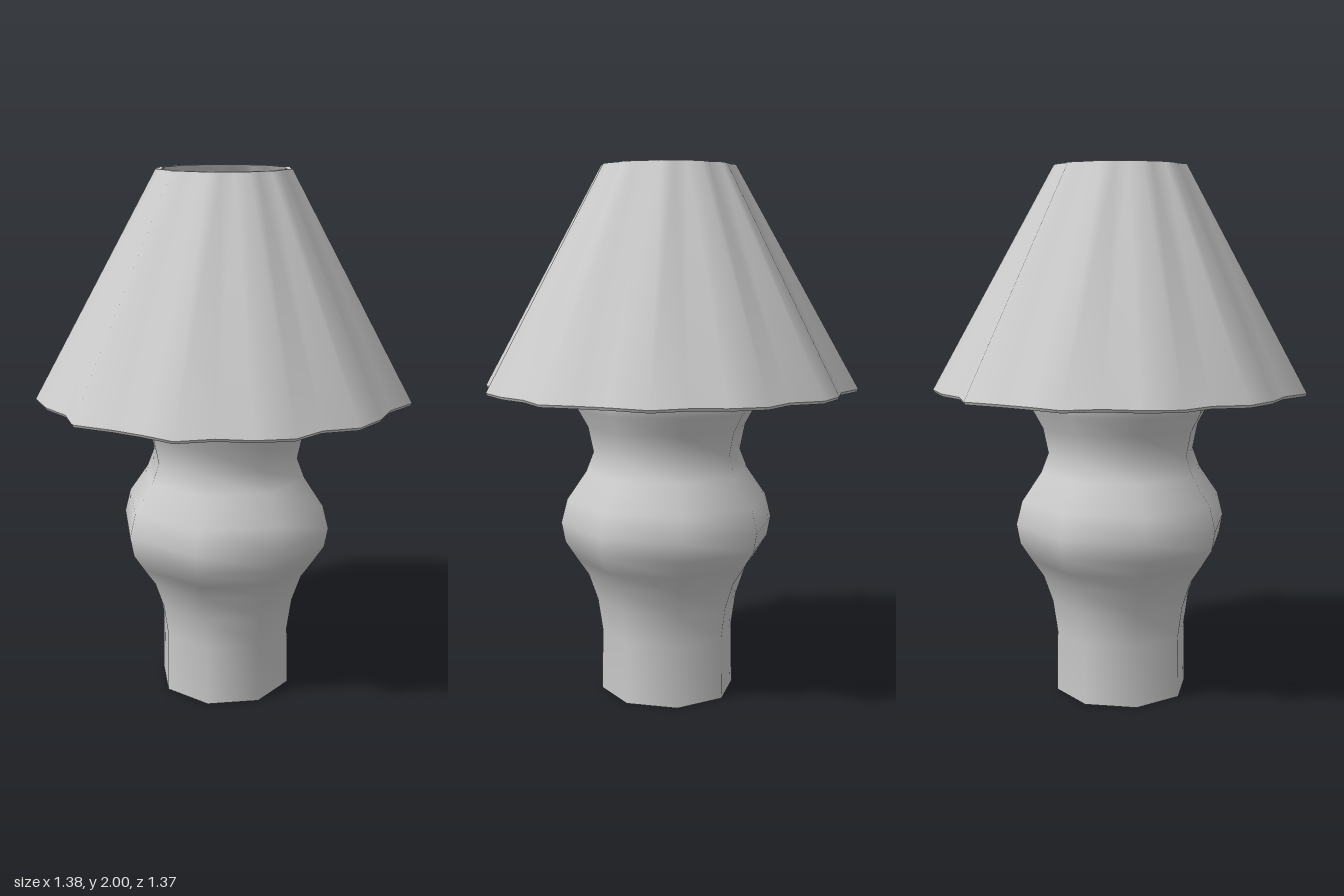
import * as THREE from 'three';

const material = new THREE.MeshStandardMaterial({ color: 0xcccccc });

function addMesh(parent, name, geometry) {
  const mesh = new THREE.Mesh(geometry, material);
  mesh.name = name;
  parent.add(mesh);
  return mesh;
}

const lathe = (points, sides, start = 0) =>
  new THREE.LatheGeometry(points.map(([r, y]) => new THREE.Vector2(r, y)), sides, start);

// Half of the wavy hem as [x, z], from front to back; mirrored for the other half
const HALF_HEM = [
  [0.129, 0.681], [0.257, 0.629], [0.358, 0.551], [0.489, 0.507],
  [0.543, 0.389], [0.602, 0.284], [0.690, 0.158], [0.660, 0.027],
  [0.680, -0.102], [0.662, -0.241], [0.565, -0.333], [0.532, -0.466],
  [0.421, -0.549], [0.301, -0.592], [0.201, -0.687], [0.065, -0.677],
];
const HEM = [
  [0, 0.647],
  ...HALF_HEM,
  ...HALF_HEM.map(([x, z]) => [-x, z]).reverse(),
];

// One band of the shade between two scaled copies of the hem, smooth around its length
function hemBand([scaleA, yA], [scaleB, yB]) {
  const positions = [];
  const index = [];
  const n = HEM.length;
  for (const [s, y] of [[scaleA, yA], [scaleB, yB]]) {
    for (const [x, z] of HEM) positions.push(x * s, y, z * s);
  }
  for (let i = 0; i < n; i++) {
    const j = (i + 1) % n;
    index.push(i, j, n + j, i, n + j, n + i);
  }
  const geometry = new THREE.BufferGeometry();
  geometry.setAttribute('position', new THREE.Float32BufferAttribute(positions, 3));
  geometry.setIndex(index);
  geometry.computeVertexNormals();
  return geometry;
}

export function createModel() {
  const lamp = new THREE.Group();
  lamp.name = 'tableLamp';

  // Eight-sided vase base with flat ends
  const base = new THREE.Group();
  base.name = 'base';
  lamp.add(base);
  addMesh(base, 'vaseBody', lathe([
    [0.257, 0], [0.253, 0.235], [0.271, 0.357], [0.306, 0.458], [0.352, 0.525],
    [0.394, 0.59], [0.408, 0.665], [0.385, 0.754], [0.312, 0.86], [0.283, 0.934],
    [0.303, 1.03], [0.342, 1.10], [0.347, 1.138],
  ], 8));
  const top = addMesh(base, 'vaseTop', new THREE.CircleGeometry(0.347, 8));
  top.rotation.x = -Math.PI / 2;
  top.position.y = 1.138;
  const bottom = addMesh(base, 'vaseBottom', new THREE.CircleGeometry(0.257, 8));
  bottom.rotation.x = Math.PI / 2;

  // Stem and six-sided bulb
  const stem = addMesh(lamp, 'stem', new THREE.CylinderGeometry(0.042, 0.042, 0.34, 8));
  stem.position.y = 1.29;
  addMesh(lamp, 'bulb', lathe([
    [0, 1.43], [0.045, 1.44], [0.082, 1.485], [0.099, 1.54],
    [0.086, 1.59], [0.05, 1.63], [0, 1.645],
  ], 6, Math.PI / 2));

  // Wavy shade: outer wall, top rim, inner wall, hem underside
  const shade = new THREE.Group();
  shade.name = 'shade';
  lamp.add(shade);
  const section = [[1, 1.18], [0.355, 2], [0.327, 2], [0.965, 1.17], [0.992, 1.17]];
  const names = ['outerWall', 'topRim', 'innerWall', 'hemUnderside', 'hemEdge'];
  names.forEach((name, i) => {
    addMesh(shade, name, hemBand(section[i], section[(i + 1) % section.length]));
  });

  return lamp;
}
